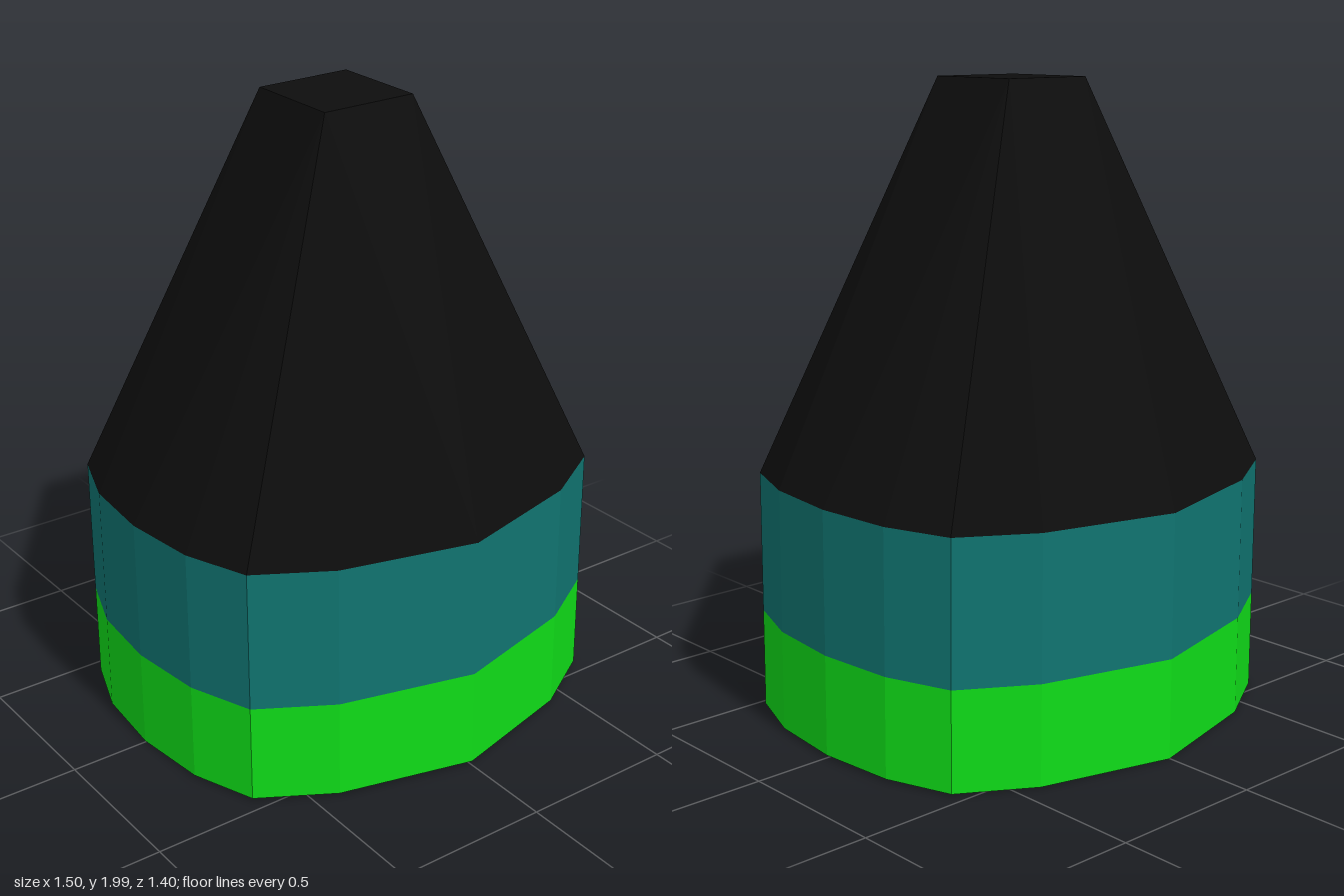
import * as THREE from 'three';

// One quarter-by-quarter outline, ordered +x -> +z, starting at a corner
const OUTLINE = [
  [0.65, -0.455], [0.725, -0.25], [0.75, 0], [0.725, 0.25],
  [0.65, 0.455], [0.425, 0.59], [0, 0.7], [-0.425, 0.59],
  [-0.65, 0.455], [-0.725, 0.25], [-0.75, 0], [-0.725, -0.25],
  [-0.65, -0.455], [-0.425, -0.59], [0, -0.7], [0.425, -0.59],
];
const N = OUTLINE.length;

// Eight-sided opening underneath, subdivided to match the outline
const corners = [[0.55, -0.4], [0.62, 0], [0.55, 0.4], [0, 0.61],
  [-0.55, 0.4], [-0.62, 0], [-0.55, -0.4], [0, -0.61]];
const OPENING = corners.flatMap((p, i) => {
  const q = corners[(i + 1) % corners.length];
  return [p, [(p[0] + q[0]) / 2, (p[1] + q[1]) / 2]];
});

// Small square tip, slightly off centre
const TIP = [[0.125, 2, -0.125], [0.125, 1.995, 0.2], [-0.19, 1.99, 0.2], [-0.19, 1.995, -0.125]]
  .map((p) => new THREE.Vector3(...p));

// Horizontal ring with the body's very slight lean
const ring = (outline, y) => outline.map(([x, z]) =>
  new THREE.Vector3(x - 0.006 * (y - 0.4), y + 0.003 * x + 0.008 * z, z));

// Triangles joining two rings, skipping collapsed ones
function band(lower, upper) {
  const tris = [];
  const add = (a, b, c) => {
    if (!a.equals(b) && !b.equals(c) && !a.equals(c)) tris.push(a, b, c);
  };
  lower.forEach((p, i) => {
    const j = (i + 1) % lower.length;
    add(p, upper[i], lower[j]);
    add(lower[j], upper[i], upper[j]);
  });
  return tris;
}

// Fan that closes a ring, facing up or down
function cap(points, up) {
  const tris = [];
  for (let i = 1; i < points.length - 1; i++) {
    if (up) tris.push(points[0], points[i + 1], points[i]);
    else tris.push(points[0], points[i], points[i + 1]);
  }
  return tris;
}

function part(name, tris, color) {
  const geometry = new THREE.BufferGeometry().setFromPoints(tris);
  geometry.computeVertexNormals();
  const mesh = new THREE.Mesh(geometry, new THREE.MeshStandardMaterial({ color, flatShading: true }));
  mesh.name = name;
  return mesh;
}

export function createModel() {
  const black = 0x0d0d0d, teal = 0x107470, green = 0x0fdc18;
  const base = ring(OUTLINE, 0.013);
  const seam = ring(OUTLINE, 0.328);
  const shoulder = ring(OUTLINE, 0.777);
  const mouth = ring(OPENING, 0.013);
  const recess = ring(OPENING, 0.24);
  // Every outline point runs to its nearest tip corner
  const tipRing = Array.from({ length: N }, (_, i) => TIP[Math.floor((i + 2) / 4) % 4]);

  const group = new THREE.Group();
  group.name = 'taperedCone';
  group.add(
    part('cone', [...band(shoulder, tipRing), ...cap(TIP, true)], black),
    part('upperBand', band(seam, shoulder), teal),
    part('lowerBand', band(base, seam), green),
    part('bottomRim', band(mouth, base), black),
    part('recessWall', band(recess, mouth), black),
    part('recessFloor', cap(recess, false), green),
  );
  return group;
}
